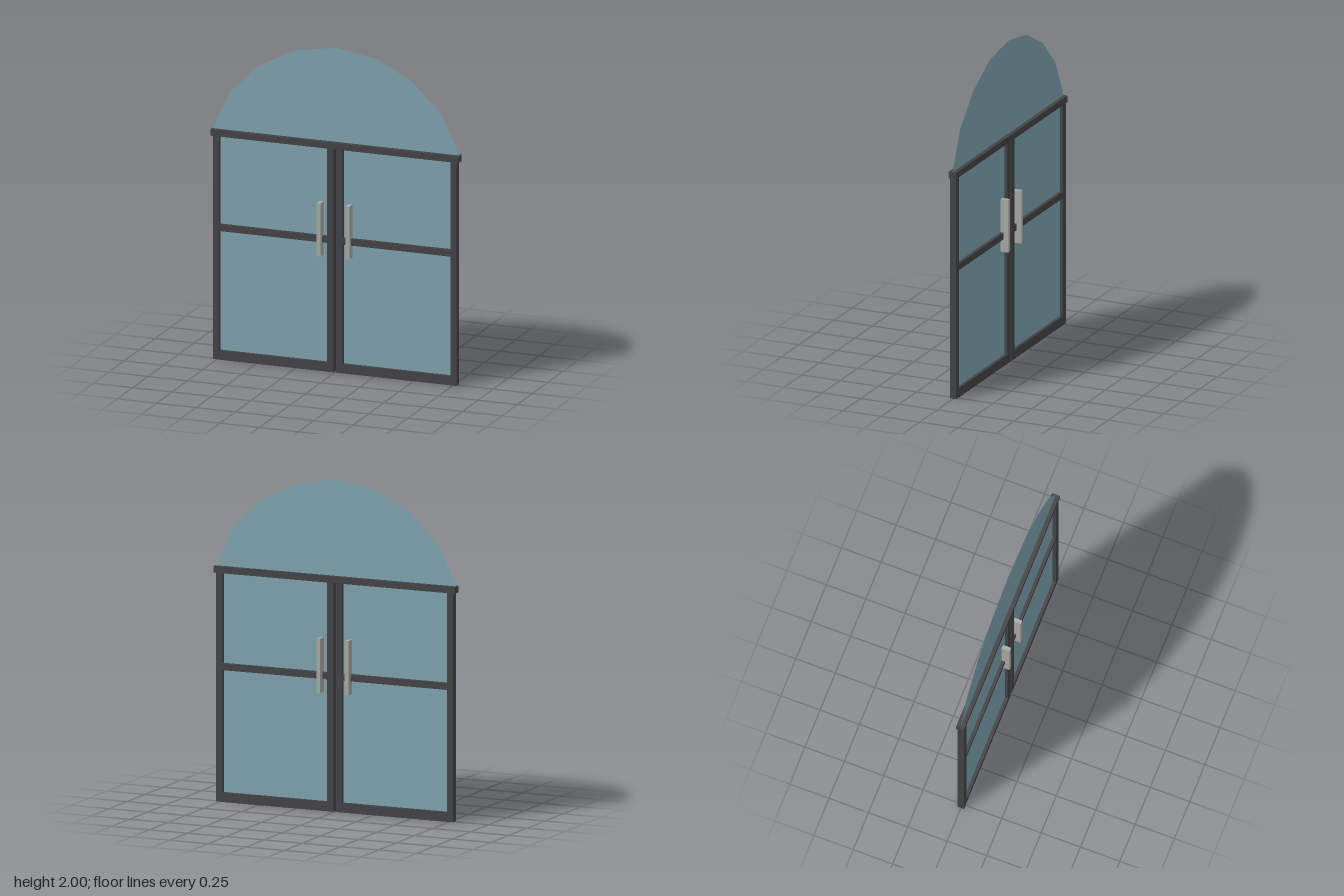
import * as THREE from 'three';

const frameMat = new THREE.MeshStandardMaterial({ color: 0x434346 });
const handleMat = new THREE.MeshStandardMaterial({ color: 0xa9a9a5 });
const glassMat = new THREE.MeshStandardMaterial({ color: 0x7fa3af, side: THREE.DoubleSide });

// Box given by its x and y limits, centred on z = 0
function bar(name, x0, x1, y0, y1, depth, mat) {
  const mesh = new THREE.Mesh(new THREE.BoxGeometry(x1 - x0, y1 - y0, depth), mat);
  mesh.name = name;
  mesh.position.set((x0 + x1) / 2, (y0 + y1) / 2, 0);
  return mesh;
}

// One door leaf; side is +1 (left) or -1 (right)
function doorLeaf(side) {
  const leaf = new THREE.Group();
  leaf.name = side > 0 ? 'leftDoor' : 'rightDoor';
  const add = (name, a, b, y0, y1, depth, mat) =>
    leaf.add(bar(name, Math.min(a * side, b * side), Math.max(a * side, b * side), y0, y1, depth, mat));

  add('innerStile', 0.008, 0.05, 0, 1.385, 0.04, frameMat);
  add('outerStile', 0.735, 0.775, 0, 1.385, 0.04, frameMat);
  add('bottomRail', 0.05, 0.735, 0, 0.057, 0.04, frameMat);
  add('middleRail', 0.05, 0.735, 0.795, 0.836, 0.04, frameMat);
  add('pullHandle', 0.08, 0.104, 0.715, 1.043, 0.1, handleMat);

  // Thin glass pane
  const pane = new THREE.Mesh(new THREE.PlaneGeometry(0.685, 1.33), glassMat);
  pane.name = 'glassPane';
  pane.position.set(side * 0.3925, 0.72, 0);
  leaf.add(pane);
  return leaf;
}

export function createModel() {
  const model = new THREE.Group();
  model.name = 'archedDoubleDoor';
  model.add(doorLeaf(1), doorLeaf(-1));

  // Lintel across both leaves
  model.add(bar('lintel', -0.79, 0.79, 1.38, 1.42, 0.05, frameMat));

  // Faceted arched glass above the lintel
  const half = [[0.79, 1.41], [0.675, 1.655], [0.49, 1.838], [0.258, 1.96]];
  const outline = [
    ...half,
    [0, 2],
    ...half.slice().reverse().map(([x, y]) => [-x, y]),
  ].map(([x, y]) => new THREE.Vector2(x, y));
  const arch = new THREE.Mesh(new THREE.ShapeGeometry(new THREE.Shape(outline)), glassMat);
  arch.name = 'archedGlass';
  model.add(arch);

  return model;
}
